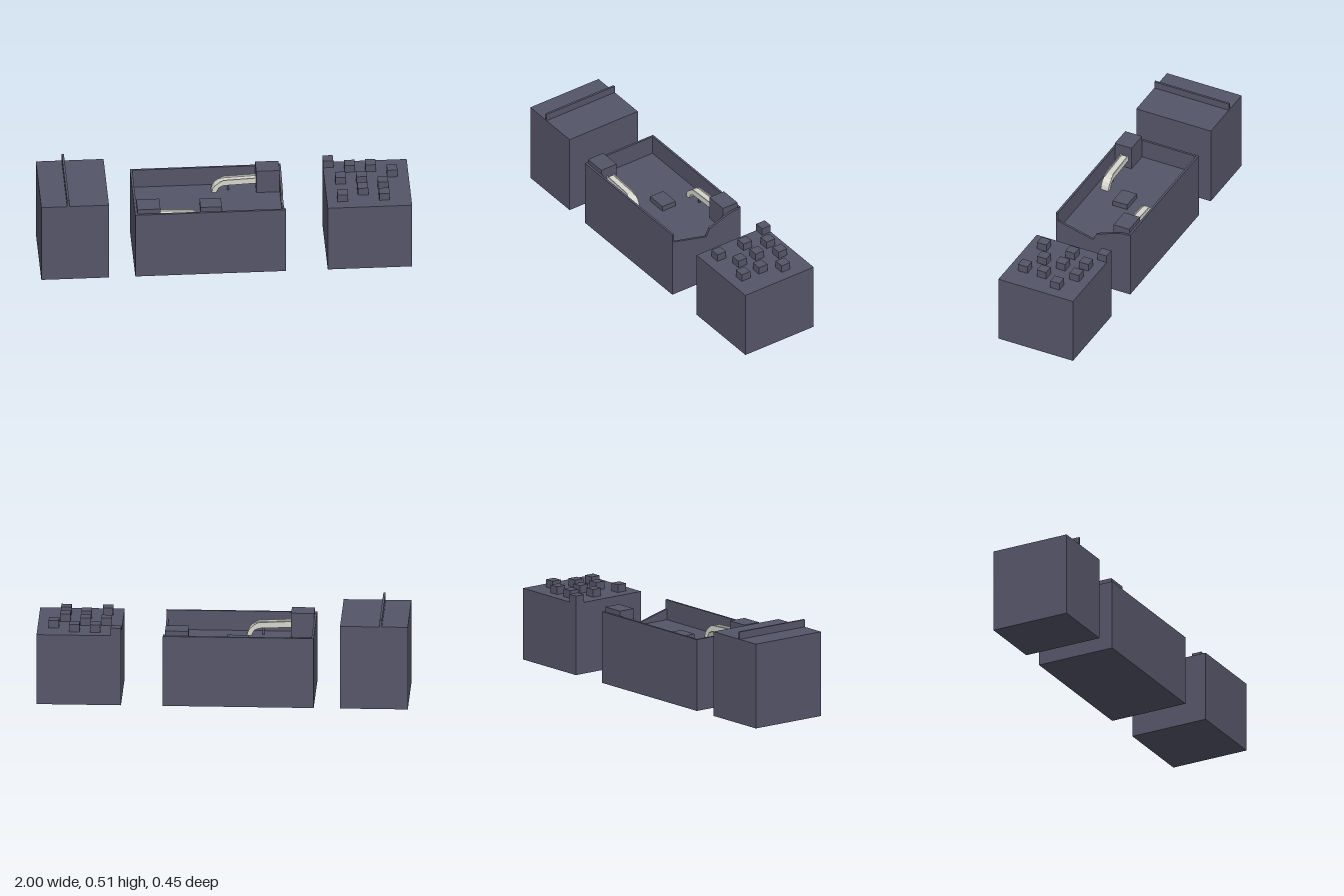
import * as THREE from 'three';

export function createModel() {
  const model = new THREE.Group();
  const slate = new THREE.MeshStandardMaterial({ color: 0x555569 });
  slate.name = 'slate';
  const paleGrey = new THREE.MeshStandardMaterial({ color: 0xd6d6ce });
  paleGrey.name = 'pale grey';

  const D = 0.225; // half depth shared by all three blocks
  const FLOOR = 0.285;
  const RIM = 0.395;
  const WALL = 0.012;

  // Box given by its extents
  function box(name, x0, x1, y0, y1, z0, z1, parent = model) {
    const mesh = new THREE.Mesh(new THREE.BoxGeometry(x1 - x0, y1 - y0, z1 - z0), slate);
    mesh.position.set((x0 + x1) / 2, (y0 + y1) / 2, (z0 + z1) / 2);
    mesh.name = name;
    parent.add(mesh);
    return mesh;
  }

  function extrude(points, depth) {
    const shape = new THREE.Shape(points.map(([x, y]) => new THREE.Vector2(x, y)));
    return new THREE.ExtrudeGeometry(shape, { depth, bevelEnabled: false });
  }

  // Tall block with a thin fin across its top
  box('tallBlock', -1, -0.635, 0, 0.467, -D, D);
  box('topFin', -0.861, -0.849, 0.467, 0.508, -D, D);

  // Block with scattered cubes
  box('cubeBlock', 0.545, 1, 0, RIM, -D, D);
  const cubes = [
    [0.573, -0.197], [0.687, -0.145], [0.799, -0.145], [0.912, -0.085], [0.63, -0.033],
    [0.743, -0.033], [0.855, 0.025], [0.743, 0.08], [0.63, 0.138], [0.855, 0.138],
  ];
  for (const [x, z] of cubes) {
    box('smallCube', x - 0.028, x + 0.028, RIM, 0.438, z - 0.028, z + 0.028);
  }

  // Central block with a walled, sunken top
  const X0 = -0.493, X1 = 0.32;
  box('courtBase', X0, X1, 0, FLOOR, -D, D);
  box('frontWall', X0, X1, FLOOR, RIM, D - WALL, D);
  box('backWall', X0, X1, FLOOR, RIM, -D, -D + WALL);
  box('endWall', X0, X0 + WALL, FLOOR, RIM, -D + WALL, D - WALL);

  // Broken end wall, dipping in the middle
  const E = D - WALL;
  const broken = new THREE.Mesh(extrude([
    [-E, FLOOR], [E, FLOOR], [E, 0.345], [0, 0.291], [-0.02, 0.335], [-0.16, 0.385], [-E, 0.39],
  ], WALL), slate);
  broken.rotation.y = -Math.PI / 2;
  broken.position.x = X1;
  broken.name = 'brokenEndWall';
  model.add(broken);

  // Corner platforms and the low middle block
  box('cornerPlatform', -0.481, -0.357, FLOOR, 0.422, 0.112, 0.213);
  box('cornerPlatform', 0.182, 0.308, FLOOR, 0.422, -0.213, -0.118);
  box('middleBlock', -0.13, -0.015, FLOOR, 0.315, -0.035, 0.052);

  // Ramps running from each platform and curling down to the floor
  function ramp(x, z, turn) {
    const group = new THREE.Group();
    group.name = 'ramp';
    const top = [[0.24, FLOOR], [0.234, 0.308], [0.222, 0.327], [0.205, 0.341], [0.18, 0.35], [0, 0.358]];
    const under = [[0, 0.335], [0.175, 0.327], [0.2, 0.315], [0.215, FLOOR]];
    const bed = new THREE.Mesh(extrude([...under, ...top], 0.046), paleGrey);
    bed.position.z = -0.023;
    bed.name = 'rampBed';
    group.add(bed);
    // Raised side edges
    for (const side of [-1, 1]) {
      const edge = new THREE.Mesh(
        extrude([[0, 0.345], [0.175, 0.337], [0.2, 0.335], [0.2, 0.348], [0.175, 0.36], [0, 0.368]], 0.005), paleGrey);
      edge.position.z = side * 0.0205 - 0.0025;
      edge.name = 'rampEdge';
      group.add(edge);
    }
    box('rampPost', 0.145, 0.155, FLOOR, 0.33, -0.005, 0.005, group);
    group.position.set(x, 0, z);
    group.rotation.y = turn;
    model.add(group);
  }
  ramp(-0.357, 0.153, 0);
  ramp(0.182, -0.157, Math.PI);

  return model;
}
